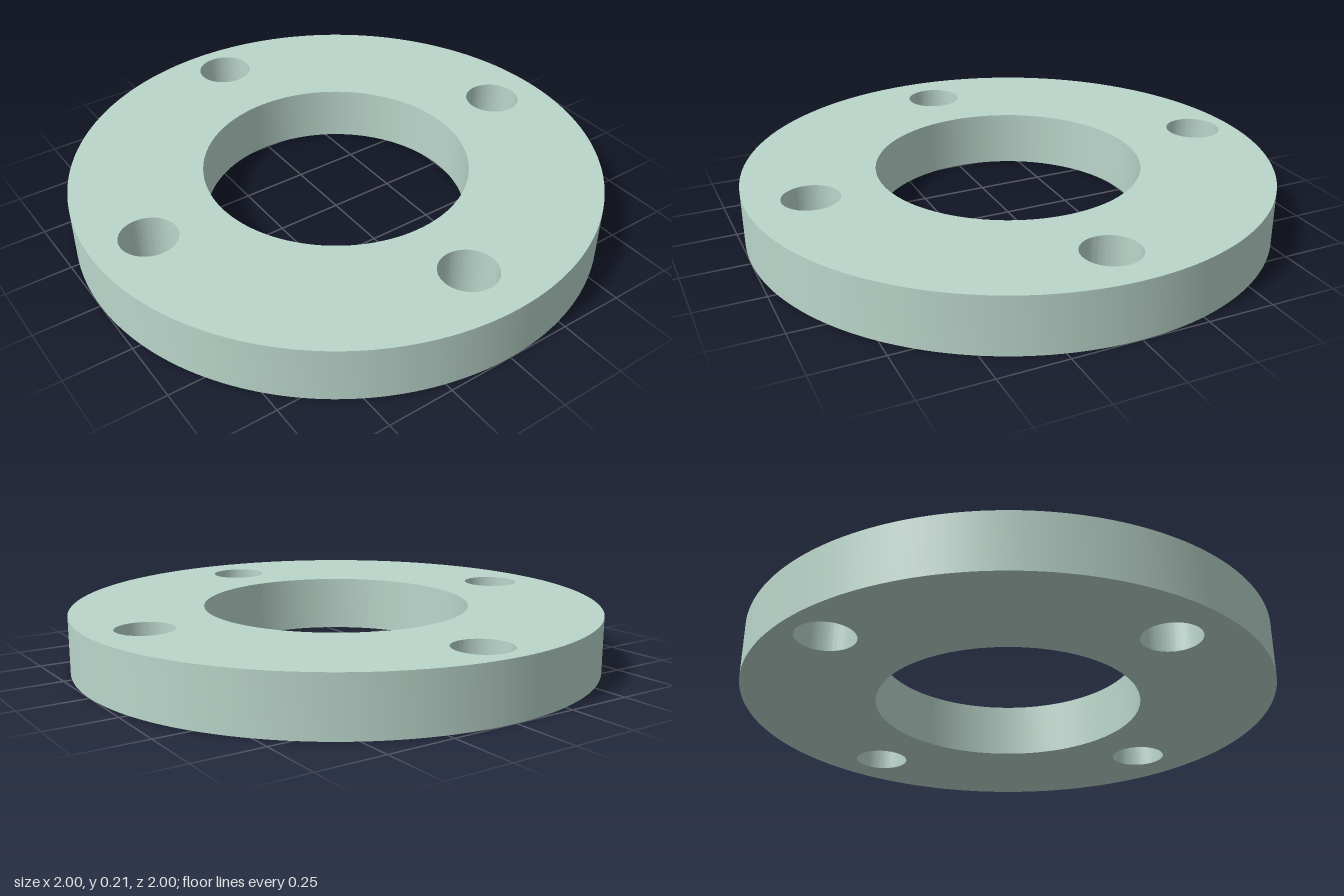
import * as THREE from 'three';
import { toCreasedNormals } from 'three/addons/utils/BufferGeometryUtils.js';

const THICKNESS = 0.213;
const BORE_RADIUS = 0.502;
const BOLT_RADIUS = 0.106;
// Bolt hole centres as [x, z]; the front and back holes sit at slightly different distances
const BOLT_CENTRES = [[0.79, 0], [-0.79, 0], [0, 0.768], [0, -0.837]];

function circle(PathType, x, y, radius) {
  const path = new PathType();
  path.absarc(x, y, radius, 0, Math.PI * 2, false);
  return path;
}

export function createModel() {
  const group = new THREE.Group();
  group.name = 'flange';

  // Round plate with a central bore and four bolt holes
  const outline = circle(THREE.Shape, 0, 0, 1);
  outline.holes.push(circle(THREE.Path, 0, 0, BORE_RADIUS));
  for (const [x, z] of BOLT_CENTRES) {
    outline.holes.push(circle(THREE.Path, x, -z, BOLT_RADIUS));
  }

  // Extruded upwards, smooth walls with sharp rims
  const extruded = new THREE.ExtrudeGeometry(outline, {
    depth: THICKNESS,
    bevelEnabled: false,
    curveSegments: 96,
  });
  extruded.rotateX(-Math.PI / 2);
  const geometry = toCreasedNormals(extruded, Math.PI / 6);

  const plate = new THREE.Mesh(geometry, new THREE.MeshStandardMaterial({ color: 0xbad6cb }));
  plate.name = 'flangePlate';
  group.add(plate);
  return group;
}
